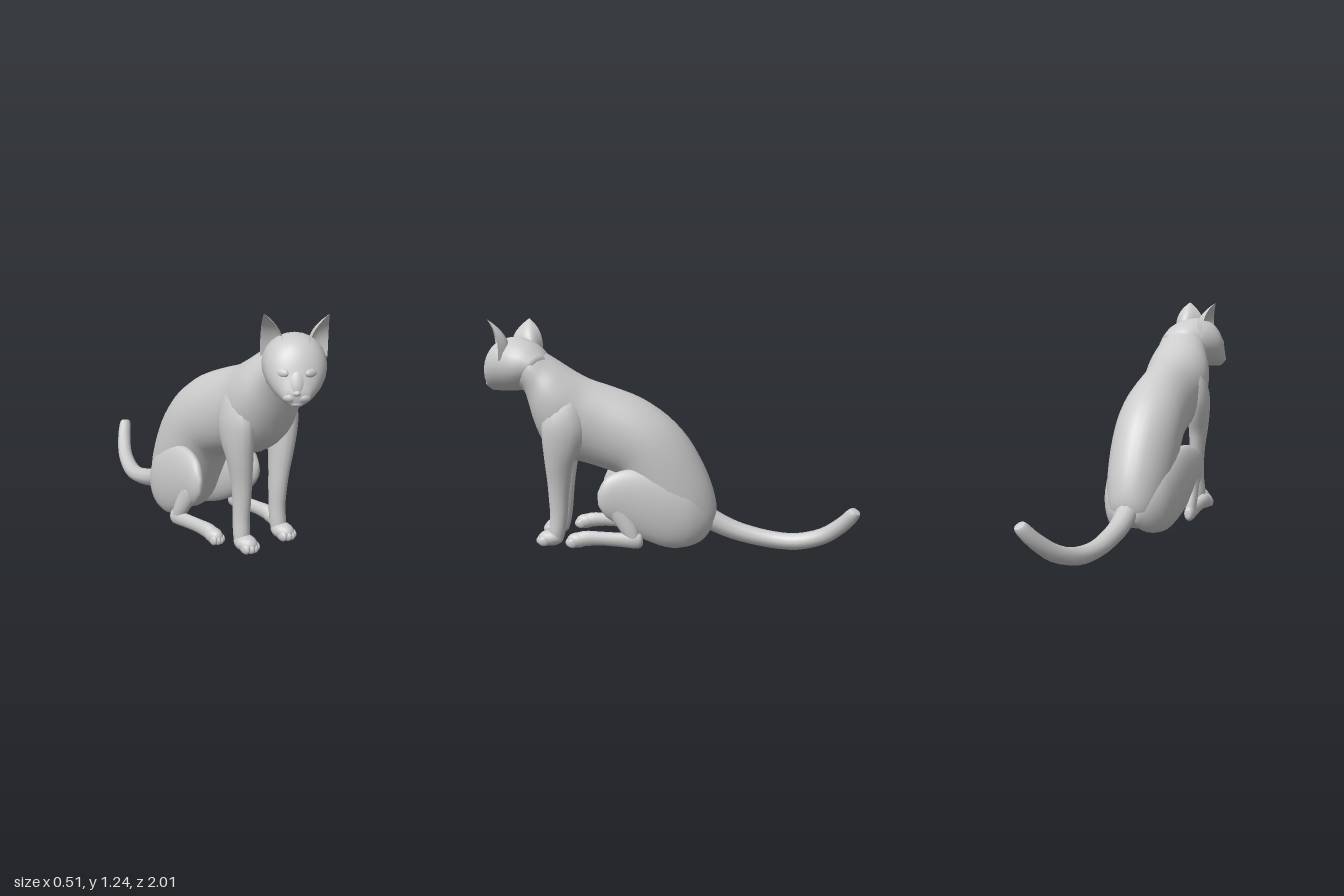
import * as THREE from 'three';
import { ParametricGeometry } from 'three/addons/geometries/ParametricGeometry.js';

const V = (x, y, z) => new THREE.Vector3(x, y, z);
const mat = new THREE.MeshStandardMaterial({ color: 0xcccccc });
const thin = new THREE.MeshStandardMaterial({ color: 0xcccccc, side: THREE.DoubleSide });

function add(parent, name, geometry, material = mat) {
  const mesh = new THREE.Mesh(geometry, material);
  mesh.name = name;
  parent.add(mesh);
  return mesh;
}

// Smoothly inserts extra rows between rows of numbers
function densify(rows, steps) {
  const out = [];
  for (let i = 0; i < rows.length - 1; i++) {
    const p0 = rows[Math.max(i - 1, 0)], p1 = rows[i], p2 = rows[i + 1], p3 = rows[Math.min(i + 2, rows.length - 1)];
    for (let s = 0; s < steps; s++) {
      const t = s / steps;
      out.push(p1.map((a, k) => {
        const m1 = (p2[k] - p0[k]) / 2, m2 = (p3[k] - a) / 2, d = p2[k] - a;
        return a + t * (m1 + t * (3 * d - 2 * m1 - m2 + t * (m1 + m2 - 2 * d)));
      }));
    }
  }
  out.push(rows[rows.length - 1]);
  return out;
}

// Skin over elliptical rings {c, u, v}, closed at both ends
function loft(rings, sides) {
  const pos = [], idx = [], n = rings.length;
  for (const { c, u, v } of rings) {
    for (let j = 0; j < sides; j++) {
      const a = (j / sides) * Math.PI * 2;
      const p = c.clone().addScaledVector(u, Math.cos(a)).addScaledVector(v, Math.sin(a));
      pos.push(p.x, p.y, p.z);
    }
  }
  pos.push(...rings[0].c.toArray(), ...rings[n - 1].c.toArray());
  for (let j = 0; j < sides; j++) {
    const k = (j + 1) % sides, e = (n - 1) * sides;
    for (let i = 0; i < n - 1; i++) {
      const a = i * sides + j, b = i * sides + k;
      idx.push(a, b, a + sides, b, b + sides, a + sides);
    }
    idx.push(n * sides, k, j, n * sides + 1, e + j, e + k);
  }
  const g = new THREE.BufferGeometry();
  g.setAttribute('position', new THREE.Float32BufferAttribute(pos, 3));
  g.setIndex(idx);
  g.computeVertexNormals();
  return g;
}

// Rows: top z, top y, bottom z, bottom y, half width, centre x (rows run towards +z)
const profile = (rows, sides = 24) => loft(densify(rows, 3).map(([tz, ty, bz, by, w, x]) => ({
  c: V(x, (ty + by) / 2, (tz + bz) / 2), u: V(w, 0, 0), v: V(0, (ty - by) / 2, (tz - bz) / 2),
})), sides);

// Rows: x, y, z, radius across, radius in depth
function limb(rows, sides = 14) {
  const d = densify(rows, 3);
  const at = (i) => V(...d[Math.min(Math.max(i, 0), d.length - 1)].slice(0, 3));
  return loft(d.map((r, i) => {
    const t = at(i + 1).sub(at(i - 1)).normalize();
    const u = V(1, 0, 0).addScaledVector(t, -t.x).normalize();
    const v = t.clone().cross(u);
    return { c: at(i), u: u.multiplyScalar(r[3]), v: v.multiplyScalar(r[4]) };
  }), sides);
}

function ball(parent, name, x, y, z, rx, ry, rz) {
  const m = add(parent, name, new THREE.SphereGeometry(1, 14, 10));
  m.position.set(x, y, z);
  m.scale.set(rx, ry, rz);
  return m;
}

// Paw with four toes
function paw(x, y, z) {
  const g = new THREE.Group();
  g.name = 'paw';
  ball(g, 'pawPad', 0, 0, 0, 0.051, 0.043, 0.07);
  [-1.5, -0.5, 0.5, 1.5].forEach((k) =>
    ball(g, 'toe', k * 0.022, -0.012, Math.abs(k) > 1 ? 0.032 : 0.044, 0.016, 0.027, 0.034));
  g.position.set(x, y, z);
  return g;
}

// spread moves the foot outwards, fading to nothing at the shoulder
function frontLeg(spread) {
  const g = new THREE.Group();
  add(g, 'frontLegLimb', limb([
    [0.085, 0.9, 0.56, 0.02, 0.03], [0.115, 0.81, 0.54, 0.062, 0.085], [0.143, 0.7, 0.545, 0.066, 0.115],
    [0.143, 0.6, 0.558, 0.062, 0.105], [0.132, 0.5, 0.575, 0.055, 0.078], [0.119, 0.4, 0.58, 0.046, 0.063],
    [0.11, 0.3, 0.583, 0.041, 0.054], [0.107, 0.2, 0.585, 0.039, 0.047], [0.107, 0.12, 0.595, 0.041, 0.045],
    [0.107, 0.07, 0.605, 0.038, 0.04],
  ].map(([x, y, ...r]) => [x + spread * Math.max(0, 1 - y / 0.65), y, ...r])));
  g.add(paw(0.107 + spread * 0.88, 0.08, 0.63));
  return g;
}

// spread swings the knee and foot outwards from the hip
function hindLeg(spread) {
  const g = new THREE.Group();
  add(g, 'thigh', profile([
    [-0.245, 0.17, -0.235, 0.12, 0.02, 0.05], [-0.2, 0.27, -0.19, 0.065, 0.055, 0.07], [-0.12, 0.36, -0.12, 0.036, 0.073, 0.1],
    [-0.02, 0.42, -0.02, 0.03, 0.075, 0.12], [0.08, 0.455, 0.08, 0.06, 0.071, 0.132], [0.18, 0.465, 0.18, 0.11, 0.063, 0.143],
    [0.27, 0.45, 0.26, 0.165, 0.053, 0.154], [0.335, 0.41, 0.325, 0.21, 0.039, 0.165], [0.37, 0.34, 0.365, 0.27, 0.012, 0.172],
  ].map((r) => [...r.slice(0, 5), r[5] + spread * (r[0] + 0.25) / 0.6])));
  const s = 0.18 + spread;
  add(g, 'shin', limb([
    [s - 0.015, 0.28, 0.28, 0.035, 0.06], [s - 0.008, 0.2, 0.235, 0.034, 0.05], [s - 0.002, 0.13, 0.195, 0.031, 0.042],
    [s, 0.07, 0.17, 0.026, 0.026],
  ]));
  add(g, 'hindFoot', limb([
    [s, 0.085, 0.132, 0.012, 0.02], [s, 0.085, 0.155, 0.029, 0.042], [s, 0.09, 0.25, 0.029, 0.038],
    [s, 0.097, 0.36, 0.03, 0.037], [s, 0.096, 0.44, 0.035, 0.041], [s, 0.085, 0.5, 0.03, 0.032],
  ]));
  const foot = paw(s, 0.088, 0.475);
  foot.scale.set(0.78, 0.95, 0.85);
  g.add(foot);
  return g;
}

// Cupped ear with a rounded tip, hollow side facing outwards
function ear() {
  const inner = V(0.058, 1.11, 0.045), outer = V(0.155, 1.03, -0.1), tip = V(0.145, 1.245, 0.0);
  return new ParametricGeometry((u, v, out) => {
    const k = Math.pow(v, 2 + 1.6 * u);
    const base = inner.clone().lerp(outer, u);
    out.copy(base).lerp(tip, k);
    out.y = base.y + (tip.y - base.y) * v;
    const cup = Math.sin(u * Math.PI) * 0.075 * (1 - v * v);
    out.x -= 0.5 * cup;
    out.z -= 0.85 * cup;
  }, 12, 16);
}

function head() {
  const g = new THREE.Group();
  add(g, 'skull', profile([
    [-0.27, 1.04, -0.24, 0.93, 0.07, 0], [-0.2, 1.105, -0.18, 0.89, 0.125, 0], [-0.12, 1.14, -0.11, 0.868, 0.145, 0],
    [-0.05, 1.15, -0.04, 0.86, 0.148, 0], [0.015, 1.14, 0.03, 0.855, 0.139, 0], [0.063, 1.11, 0.073, 0.852, 0.121, 0],
    [0.097, 1.06, 0.102, 0.851, 0.097, 0], [0.122, 0.995, 0.122, 0.853, 0.073, 0], [0.14, 0.945, 0.138, 0.861, 0.053, 0],
    [0.15, 0.918, 0.146, 0.88, 0.02, 0],
  ]));
  ball(g, 'nose', 0, 0.918, 0.146, 0.017, 0.013, 0.014);
  ball(g, 'noseBridge', 0, 0.965, 0.117, 0.036, 0.065, 0.022).rotation.x = -0.38;
  ball(g, 'chin', 0, 0.868, 0.118, 0.036, 0.018, 0.028);
  for (const s of [-1, 1]) {
    ball(g, 'muzzlePad', s * 0.028, 0.895, 0.123, 0.036, 0.026, 0.028);
    const eye = ball(g, 'eye', s * 0.064, 1.0, 0.102, 0.033, 0.02, 0.014);
    eye.rotation.set(-0.3, s * 0.6, s * 0.2);
    const e = add(g, s > 0 ? 'leftEar' : 'rightEar', ear(), thin);
    e.scale.x = s;
  }
  // Head is turned towards the right
  g.position.set(-0.073, 0, 0.863);
  g.rotation.y = THREE.MathUtils.degToRad(-40);
  return g;
}

export function createModel() {
  const model = new THREE.Group();
  model.name = 'sittingCat';
  const place = (name, part, mirror = 1) => {
    part.name = name;
    part.scale.x = mirror;
    model.add(part);
  };

  // Torso from rump to neck
  add(model, 'body', profile([
    [-0.25, 0.15, -0.21, 0.09, 0.05, 0], [-0.265, 0.22, -0.1, 0.045, 0.11, 0], [-0.245, 0.33, 0.03, 0.045, 0.152, 0],
    [-0.195, 0.46, 0.12, 0.11, 0.175, 0], [-0.11, 0.61, 0.19, 0.26, 0.184, 0], [0, 0.73, 0.26, 0.4, 0.184, 0],
    [0.14, 0.825, 0.34, 0.44, 0.178, 0], [0.29, 0.885, 0.45, 0.475, 0.172, 0], [0.41, 0.925, 0.57, 0.51, 0.18, 0],
    [0.49, 0.965, 0.67, 0.59, 0.192, 0], [0.555, 1.005, 0.72, 0.7, 0.184, 0], [0.62, 1.047, 0.745, 0.79, 0.16, 0.002],
    [0.69, 1.09, 0.765, 0.86, 0.142, 0.01], [0.76, 1.125, 0.81, 0.89, 0.115, 0.01], [0.82, 1.12, 0.85, 0.91, 0.08, -0.01],
  ], 28));

  place('head', head());
  place('leftFrontLeg', frontLeg(0));
  place('rightFrontLeg', frontLeg(0.04), -1);
  place('leftHindLeg', hindLeg(0));
  place('rightHindLeg', hindLeg(0.04), -1);

  // Tail curving up and to the left
  add(model, 'tail', limb([
    [0, 0.18, -0.2, 0.06, 0.06], [0, 0.13, -0.29, 0.055, 0.055], [0.008, 0.088, -0.4, 0.05, 0.05],
    [0.03, 0.055, -0.56, 0.048, 0.046], [0.07, 0.055, -0.7, 0.046, 0.045], [0.12, 0.1, -0.83, 0.043, 0.043],
    [0.175, 0.178, -0.92, 0.04, 0.04], [0.213, 0.24, -0.965, 0.036, 0.036], [0.223, 0.262, -0.978, 0.027, 0.027],
  ], 10));
  return model;
}
